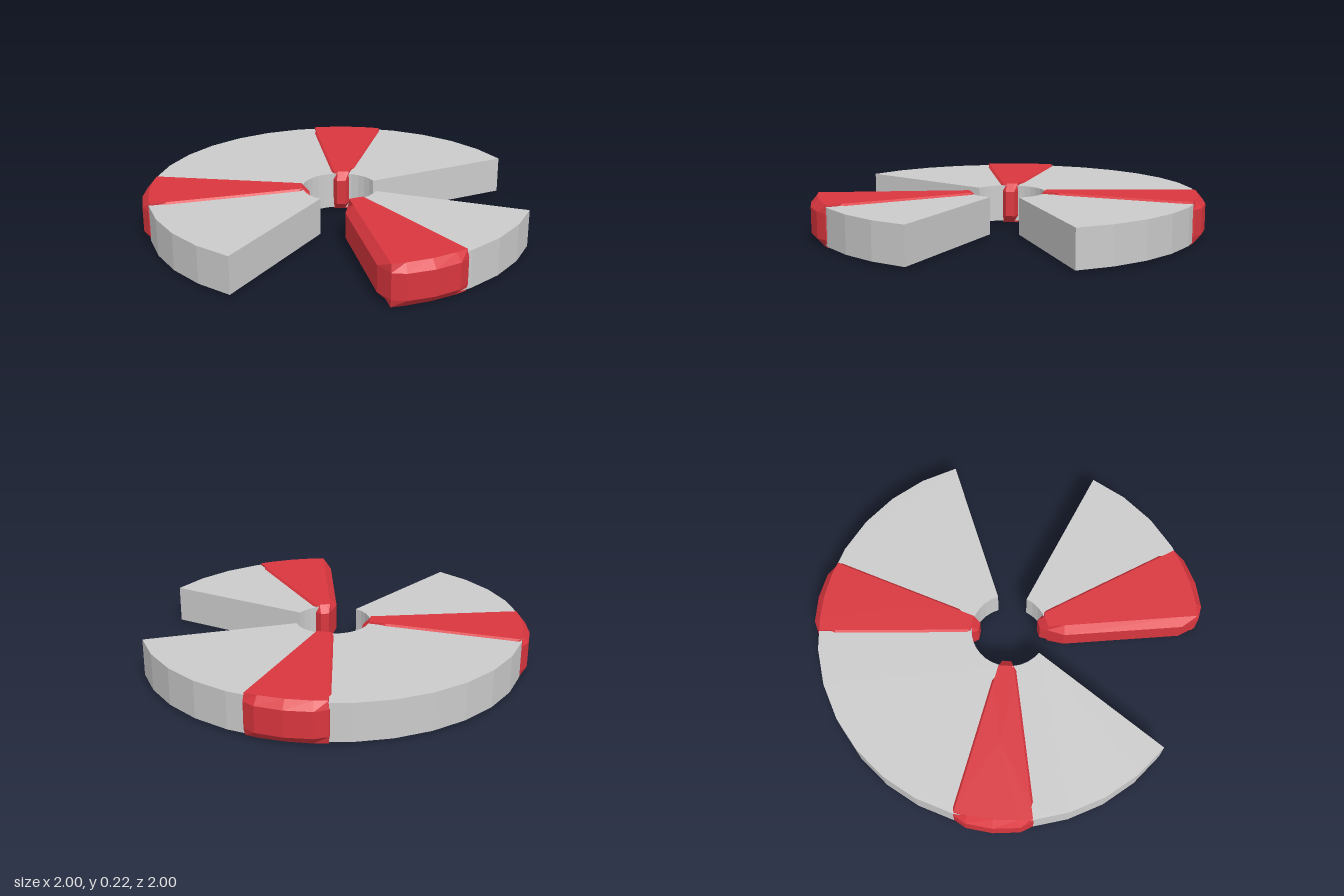
import * as THREE from 'three';

const STEP = Math.PI / 16; // the ring is cut into 32 facets
const CENTRE_Z = 0.015;
const grey = new THREE.MeshStandardMaterial({ color: 0xcccccc, flatShading: true });
const red = new THREE.MeshStandardMaterial({ color: 0xd9363e, flatShading: true });

// Flat ring sector between two facet indices, counted anticlockwise from +x
function ringSector(name, from, to) {
  const pts = [];
  const add = (r, i) => pts.push(new THREE.Vector2(r * Math.cos(i * STEP), r * Math.sin(i * STEP)));
  for (let i = from; i <= to; i++) add(1, i);
  for (let i = to; i >= from; i--) add(0.198, i);
  const geo = new THREE.ExtrudeGeometry(new THREE.Shape(pts), { depth: 0.195, bevelEnabled: false });
  geo.rotateX(-Math.PI / 2).translate(0, 0.01, 0);
  const mesh = new THREE.Mesh(geo, grey);
  mesh.name = name;
  return mesh;
}

// Half outlines of the wedge as [radius, angle from its centre line], inside to outside
const capHalf = [[0.2, 0.1], [0.205, 0.195], [0.29, 0.196], [0.91, 0.198], [0.993, 0.198], [0.995, 0.13], [0.996, 0]];
const beltHalf = [[0.162, 0.14], [0.2, 0.22], [0.29, 0.333], [0.91, 0.244], [1.003, 0.2], [1.028, 0.135], [1.034, 0]];

// Closed anticlockwise outline from a half outline
const outline = (half) => [
  ...half.map(([r, t]) => [r, -t]),
  ...half.slice(0, -1).reverse(),
];

// Wedge with chamfered edges, lofted through four level outlines
function wedgeGeometry() {
  const cap = outline(capHalf), belt = outline(beltHalf), n = cap.length;
  const levels = [[cap, 0], [belt, 0.04], [belt, 0.175], [cap, 0.215]];
  const pos = [], index = [];
  for (const [line, y] of levels)
    for (const [r, t] of line) pos.push(r * Math.cos(t), y, -r * Math.sin(t));
  pos.push(0.6, 0, 0, 0.6, 0.215, 0);
  for (let i = 0; i < n; i++) {
    const j = (i + 1) % n;
    for (let k = 0; k < 3; k++) {
      const a = k * n + i, b = k * n + j;
      index.push(a, b, b + n, a, b + n, a + n);
    }
    index.push(4 * n, j, i, 4 * n + 1, 3 * n + i, 3 * n + j); // bottom and top faces
  }
  const geo = new THREE.BufferGeometry();
  geo.setAttribute('position', new THREE.Float32BufferAttribute(pos, 3));
  geo.setIndex(index);
  const flat = geo.toNonIndexed();
  flat.computeVertexNormals();
  return flat;
}

export function createModel() {
  const model = new THREE.Group();
  model.name = 'segmentedRing';
  const ring = new THREE.Group();
  ring.name = 'ring';
  ring.position.z = CENTRE_Z;
  model.add(ring);

  // Grey ring, with two open gaps
  ring.add(ringSector('largeSector', 4, 23), ringSector('smallSector', -4, 0));

  // Red wedges set into the ring
  const geo = wedgeGeometry();
  const wedges = { backWedge: 106.6, rightWedge: 203, frontWedge: -46.5 };
  for (const [name, angle] of Object.entries(wedges)) {
    const wedge = new THREE.Mesh(geo, red);
    wedge.name = name;
    wedge.rotation.y = THREE.MathUtils.degToRad(angle);
    ring.add(wedge);
  }
  return model;
}
